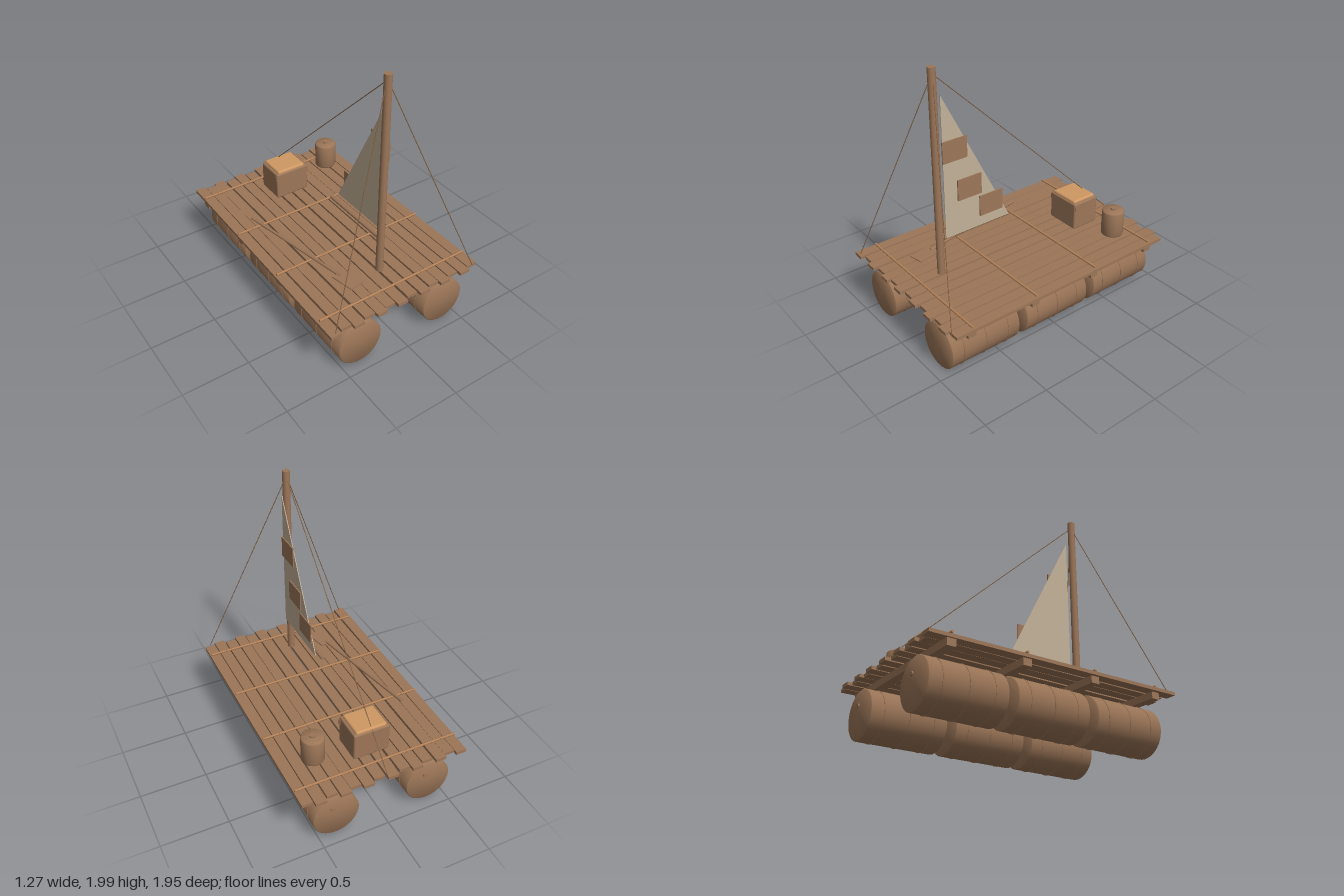
import * as THREE from 'three';
import { toCreasedNormals } from 'three/addons/utils/BufferGeometryUtils.js';
import { RoundedBoxGeometry } from 'three/addons/geometries/RoundedBoxGeometry.js';

const paint = (name, color, extra = {}) => {
  const m = new THREE.MeshStandardMaterial({ color, ...extra });
  m.name = name;
  return m;
};

export function createModel() {
  const wood = paint('brown wood', 0x9c7658);
  const pole = paint('light wood', 0xb5835a);
  const lidTan = paint('tan lid', 0xcf9864);
  const canvas = paint('sail canvas', 0xc3b299, { side: THREE.DoubleSide });
  const rope = paint('brown rope', 0x866345);

  const raft = new THREE.Group();
  raft.name = 'raft';

  const add = (name, geo, mat, x = 0, y = 0, z = 0, parent = raft) => {
    const m = new THREE.Mesh(geo, mat);
    m.name = name;
    m.position.set(x, y, z);
    parent.add(m);
    return m;
  };
  const box = (w, h, d) => new THREE.BoxGeometry(w, h, d);
  const cyl = (r, h, n = 16) => new THREE.CylinderGeometry(r, r, h, n);
  const lathe = (pts, n = 40) => toCreasedNormals(
    new THREE.LatheGeometry(pts.map(p => new THREE.Vector2(...p)), n), 0.9);
  // straight rod between two points
  const rod = (name, a, b, r, mat, n = 6) => {
    const A = new THREE.Vector3(...a), B = new THREE.Vector3(...b);
    const d = B.clone().sub(A);
    const m = add(name, cyl(r, d.length(), n), mat);
    m.position.copy(A).add(B).multiplyScalar(0.5);
    m.quaternion.setFromUnitVectors(new THREE.Vector3(0, 1, 0), d.normalize());
    return m;
  };

  // Floating drums: two rows of three, with hoops and a bung on the back end
  const L = 0.282, R = 0.175;
  const drumGeo = lathe([
    [0, -L], [R - 0.006, -L], [R, -L + 0.005], [R, L - 0.005], [R - 0.006, L], [0, L],
  ]);
  const hoopGeo = new THREE.TorusGeometry(R, 0.004, 8, 40);
  for (const x of [-0.36, 0.367]) {
    for (const z of [0.637, 0.002, -0.633]) {
      const drum = new THREE.Group();
      drum.name = 'drum';
      drum.position.set(x, 0.187, z);
      raft.add(drum);
      add('drumBody', drumGeo, wood, 0, 0, 0, drum).rotation.x = Math.PI / 2;
      for (const h of [-0.185, 0, 0.185]) add('drumHoop', hoopGeo, wood, 0, 0, h, drum);
      add('drumBung', cyl(0.016, 0.02, 12), wood, 0.03, 0.068, -L, drum).rotation.x = Math.PI / 2;
    }
  }

  // Cross beams below the deck, lashing poles above it
  for (const z of [0.812, 0.273, -0.272, -0.817]) {
    add('crossBeam', box(1.225, 0.05, 0.064), wood, 0.003, 0.385, z);
    rod('lashingPole', [-0.62, 0.45, z], [0.63, 0.45, z], 0.009, pole, 8);
    for (const x of [-0.5, -0.22, 0.23, 0.5]) {
      add('lashing', new THREE.TorusGeometry(0.009, 0.003, 6, 12), pole, x, 0.45, z).rotation.y = Math.PI / 2;
    }
  }

  // Deck planks with alternating length and a slight skew (x at back, x at front)
  const backX = [-0.578, -0.495, -0.413, -0.318, -0.228, -0.138, -0.038, 0.057, 0.15, 0.239, 0.322, 0.412, 0.507, 0.595];
  const frontX = [-0.596, -0.498, -0.41, -0.308, -0.22, -0.136, -0.048, 0.052, 0.147, 0.242, 0.327, 0.417, 0.507, 0.595];
  backX.forEach((xb, i) => {
    const xf = frontX[i], len = i % 2 ? 1.89 : 1.95;
    const p = add('deckPlank', box(0.081, 0.024, len), wood, (xb + xf) / 2, 0.423, 0);
    p.rotation.y = Math.atan2(xf - xb, len);
  });

  // Mast, boom and stays
  rod('mast', [0.003, 0.458, 0.637], [0.003, 2, 0.637], 0.028, wood, 24);
  rod('boom', [0.003, 0.735, 0.637], [0.003, 0.735, 0.048], 0.015, wood, 16);
  for (const s of [-1, 1]) rod('foreStay', [0.003 + s * 0.02, 1.91, 0.64], [s * 0.592, 0.437, 0.955], 0.003, rope);
  rod('backStay', [0.003, 1.93, 0.61], [0.003, 0.437, -0.955], 0.003, rope);

  // Triangular sail, drawn in (z, y) and turned into the fore-aft plane
  const tri = new THREE.Shape([[-0.614, 0.757], [-0.07, 0.757], [-0.614, 1.82]].map(p => new THREE.Vector2(...p)));
  const sail = add('sail', new THREE.ExtrudeGeometry(tri, { depth: 0.006, bevelEnabled: false }), canvas, 0.046);
  sail.rotation.y = Math.PI / 2;
  for (const [z, y] of [[0.522, 1.412], [0.41, 1.098], [0.23, 0.914]]) {
    add('sailPatch', box(0.009, 0.158, 0.197), wood, 0.0565, y, z);
  }

  // Oar lying on the deck
  rod('oarShaft', [-0.45, 0.472, -0.365], [-0.27, 0.472, 0.55], 0.012, wood, 12);
  add('oarBlade', box(0.115, 0.008, 0.185), wood, -0.251, 0.47, 0.61).rotation.y = 0.194;

  // Storage chest with lid and side latches
  add('chestBody', new RoundedBoxGeometry(0.28, 0.22, 0.232, 3, 0.014), wood, 0.004, 0.55, -0.617);
  add('chestLid', new RoundedBoxGeometry(0.24, 0.04, 0.212, 4, 0.015), lidTan, 0.004, 0.658, -0.617);
  for (const s of [-1, 1]) add('chestLatch', box(0.01, 0.038, 0.018), wood, 0.004 + s * 0.14, 0.62, -0.514);

  // Small keg with a cap
  add('keg', lathe([
    [0, 0], [0.074, 0], [0.08, 0.004], [0.083, 0.012], [0.083, 0.192], [0.08, 0.2], [0.074, 0.204], [0, 0.204],
  ], 32), wood, 0.412, 0.496, -0.64);
  add('kegCap', cyl(0.02, 0.014, 8), wood, 0.412, 0.704, -0.64);

  return raft;
}
